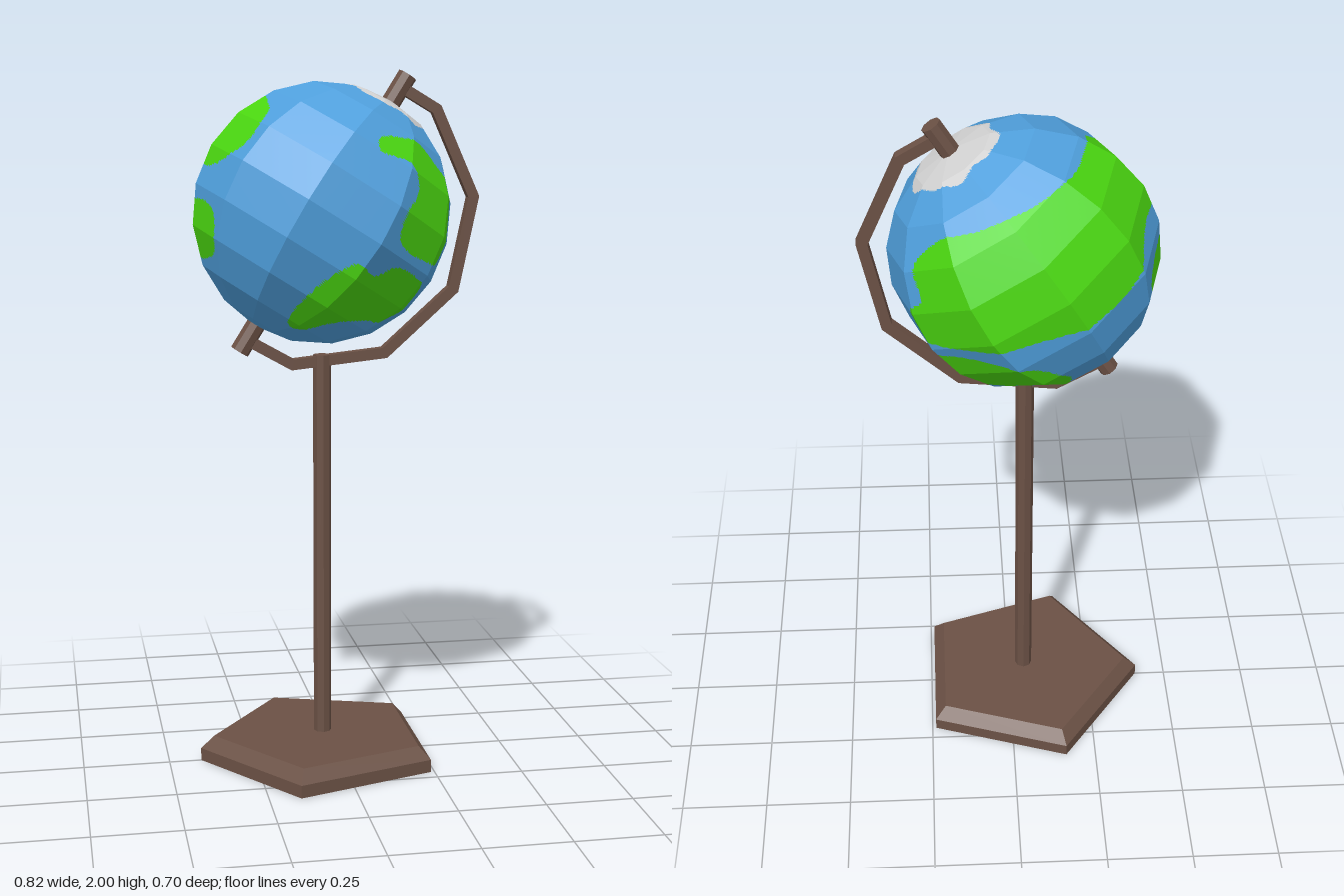
import * as THREE from 'three';

const ocean = new THREE.MeshStandardMaterial({ color: 0x4f9fdc });
ocean.name = 'ocean blue';
const land = new THREE.MeshStandardMaterial({ color: 0x4ad510 });
land.name = 'land green';
const ice = new THREE.MeshStandardMaterial({ color: 0xd2d2d2 });
ice.name = 'ice white';
const wood = new THREE.MeshStandardMaterial({ color: 0x6b5145 });
wood.name = 'brown wood';

const TILT = THREE.MathUtils.degToRad(32);
const RADIUS = 0.37;
const CENTRE = new THREE.Vector3(-0.04, 1.6, 0);

// Smooth closed coastline through a few [longitude, latitude] points in degrees
function coast(...points) {
  const knots = points.map(([lon, lat]) => new THREE.Vector3(lon, lat, 0));
  return new THREE.CatmullRomCurve3(knots, true).getPoints(80);
}

const coasts = [
  coast([94, 44], [92, 37], [72, 39], [62, 30], [66, 18], [62, 6], [37, 5], [13, 10],
    [13, 31], [41, 47], [66, 53]),
  coast([75, -12], [84, -37], [80, -57], [68, -59], [52, -38], [20, -20], [20, -9],
    [54, -4], [64, -13]),
  coast([-5, -8], [-6, -23], [-47, -38], [-56, -52], [-70, -57], [-82, -48], [-77, -24],
    [-59, -11], [-26, -3]),
  coast([-33, 19], [-28, 8], [-44, 1], [-73, -6], [-129, -19], [-165, -9], [-189, -8],
    [-208, 8], [-202, 25], [-180, 32], [-153, 34], [-93, 45], [-63, 48], [-43, 39], [-43, 24]),
  coast([-153, -33], [-176, -25], [-206, -27], [-211, -42], [-186, -51], [-155, -42]),
];

function inside(poly, x, y) {
  let hit = false;
  for (let i = 0, j = poly.length - 1; i < poly.length; j = i++) {
    const a = poly[i], b = poly[j];
    if ((a.y > y) !== (b.y > y) && x < ((b.x - a.x) * (y - a.y)) / (b.y - a.y) + a.x) hit = !hit;
  }
  return hit;
}

// 0 = ocean, 1 = land, 2 = ice
function surfaceKind(p) {
  const lat = THREE.MathUtils.radToDeg(Math.asin(p.y / p.length()));
  const angle = Math.atan2(p.z, p.x);
  const lon = THREE.MathUtils.radToDeg(angle);
  if (lat > 69.3 + 1.1 * Math.sin(5 * angle) + 0.7 * Math.sin(9 * angle + 1)) return 2;
  return coasts.some((c) => inside(c, lon, lat) || inside(c, lon - 360, lat)) ? 1 : 0;
}

// Splits every flat facet into small triangles and sorts them by surface kind
function globeGeometries() {
  const N = 20;
  const pos = new THREE.SphereGeometry(RADIUS, 10, 10).toNonIndexed().getAttribute('position');
  const buckets = [[], [], []];
  const [a, b, c, mid] = [0, 1, 2, 3].map(() => new THREE.Vector3());
  for (let t = 0; t < pos.count; t += 3) {
    a.fromBufferAttribute(pos, t);
    b.fromBufferAttribute(pos, t + 1).sub(a);
    c.fromBufferAttribute(pos, t + 2).sub(a);
    const at = (i, j) => a.clone().addScaledVector(b, i / N).addScaledVector(c, j / N);
    const add = (...tri) => {
      mid.copy(tri[0]).add(tri[1]).add(tri[2]).divideScalar(3);
      const bucket = buckets[surfaceKind(mid)];
      tri.forEach((p) => bucket.push(p.x, p.y, p.z));
    };
    for (let i = 0; i < N; i++) {
      for (let j = 0; j < N - i; j++) {
        add(at(i, j), at(i + 1, j), at(i, j + 1));
        if (i + j < N - 1) add(at(i + 1, j), at(i + 1, j + 1), at(i, j + 1));
      }
    }
  }
  return buckets.map((list) => {
    const g = new THREE.BufferGeometry();
    g.setAttribute('position', new THREE.Float32BufferAttribute(list, 3));
    g.computeVertexNormals();
    return g;
  });
}

// Faceted wooden part
function woodPart(name, geometry) {
  const g = geometry.index ? geometry.toNonIndexed() : geometry;
  g.computeVertexNormals();
  const mesh = new THREE.Mesh(g, wood);
  mesh.name = name;
  return mesh;
}

export function createModel() {
  const model = new THREE.Group();
  model.name = 'deskGlobe';

  // Five-sided base with a bevelled rim
  const profile = [[0, 0], [0.357, 0], [0.357, 0.037], [0.318, 0.073], [0, 0.073]]
    .map(([x, y]) => new THREE.Vector2(x, y));
  const base = woodPart('base', new THREE.LatheGeometry(profile, 5, -Math.PI / 2));
  base.position.x = -0.05;
  model.add(base);

  // Upright post
  const post = woodPart('post', new THREE.CylinderGeometry(0.026, 0.026, 1.13, 8));
  post.position.set(-0.044, 0.07 + 1.13 / 2, 0);
  model.add(post);

  // Tilted globe, one mesh per colour
  const globe = new THREE.Group();
  globe.name = 'globe';
  globe.position.copy(CENTRE);
  globe.rotation.z = -TILT;
  const names = ['oceans', 'continents', 'polarIce'];
  globeGeometries().forEach((g, i) => {
    const mesh = new THREE.Mesh(g, [ocean, land, ice][i]);
    mesh.name = names[i];
    globe.add(mesh);
  });

  // Pins at both poles
  for (const side of [1, -1]) {
    const pin = woodPart(side > 0 ? 'topPin' : 'bottomPin',
      new THREE.CylinderGeometry(0.028, 0.028, 0.095, 8));
    pin.position.y = side * 0.408;
    globe.add(pin);
  }
  model.add(globe);

  // Segmented half-ring arm from pole to pole
  const angles = [58, 42, 6, -30, -66, -102, -122];
  const ring = (r) => angles.map((deg, i) => {
    const q = THREE.MathUtils.degToRad(deg);
    const d = i === 0 || i === angles.length - 1 ? r * 0.955 : r;
    return new THREE.Vector2(Math.cos(q) * d, Math.sin(q) * d);
  });
  const armShape = new THREE.Shape([...ring(0.452), ...ring(0.42).reverse()]);
  const arm = woodPart('arm',
    new THREE.ExtrudeGeometry(armShape, { depth: 0.032, bevelEnabled: false }));
  arm.position.copy(CENTRE);
  arm.position.z = -0.016;
  model.add(arm);

  return model;
}
